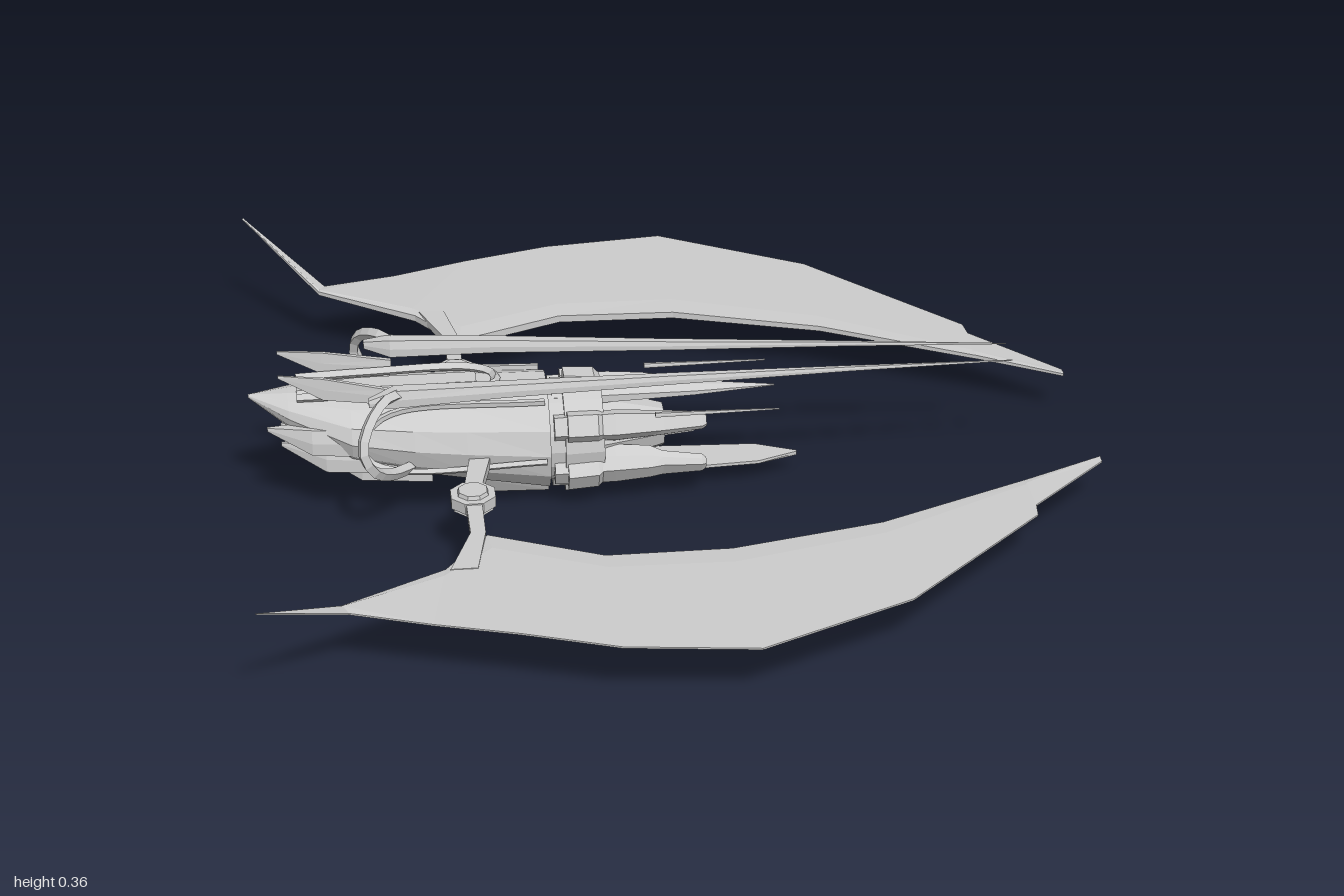
import * as THREE from 'three';

const AXIS = 0.16; // height of the hull's long axis
const mat = new THREE.MeshStandardMaterial({ color: 0xcccccc, flatShading: true, side: THREE.DoubleSide });

function add(parent, name, geometry) {
  const mesh = new THREE.Mesh(geometry, mat);
  mesh.name = name;
  parent.add(mesh);
  return mesh;
}

// Skin a row of closed cross-sections, cap both ends, and turn faces outward.
function loft(sections) {
  const n = sections[0].length, tris = [];
  for (let i = 0; i + 1 < sections.length; i++) {
    const a = sections[i], b = sections[i + 1];
    for (let j = 0; j < n; j++) {
      const k = (j + 1) % n;
      tris.push([a[j], b[j], b[k]], [a[j], b[k], a[k]]);
    }
  }
  const first = sections[0], last = sections[sections.length - 1];
  for (let j = 1; j + 1 < n; j++) {
    tris.push([first[0], first[j], first[j + 1]], [last[0], last[j + 1], last[j]]);
  }
  let volume = 0;
  for (const [p, q, r] of tris) {
    volume += p[0] * (q[1] * r[2] - q[2] * r[1]) + p[1] * (q[2] * r[0] - q[0] * r[2]) + p[2] * (q[0] * r[1] - q[1] * r[0]);
  }
  if (volume < 0) tris.forEach(t => t.reverse());
  const g = new THREE.BufferGeometry();
  g.setAttribute('position', new THREE.Float32BufferAttribute(tris.flat(2), 3));
  g.computeVertexNormals();
  return g;
}

// Bar along x with rows of [x, low y, high y, half width, centre z].
const bar = (rows, chamfer = 0.7) => loft(rows.map(([x, lo, hi, w, z = 0]) => [
  [x, lo, z - w], [x, lo, z + w], [x, (lo + hi) / 2, z + w],
  [x, hi, z + w * chamfer], [x, hi, z - w * chamfer], [x, (lo + hi) / 2, z - w],
]));

// Rounded hull with rows of [x, low y, high y, half width].
const shell = (rows, n = 14) => loft(rows.map(([x, lo, hi, w]) => Array.from({ length: n }, (_, i) => {
  const a = ((i + 0.5) / n) * Math.PI * 2;
  return [x, (lo + hi) / 2 + Math.cos(a) * (hi - lo) / 2, Math.sin(a) * w];
})));

// Flat-sided tube along points.
function rod(points, radius, segments, sides = 4) {
  const curve = new THREE.CatmullRomCurve3(points.map(p => new THREE.Vector3(...p)));
  return new THREE.TubeGeometry(curve, segments, radius, sides);
}

function ring(parent, name, x0, x1, r0, r1, sides = 18) {
  const g = new THREE.CylinderGeometry(r1, r0, x1 - x0, sides);
  g.rotateZ(-Math.PI / 2).translate((x0 + x1) / 2, AXIS, 0);
  return add(parent, name, g);
}

function buildHull(root) {
  const hull = new THREE.Group();
  hull.name = 'hull';
  root.add(hull);
  add(hull, 'mainHull', shell([
    [-0.97, 0.285, 0.293, 0.004], [-0.88, 0.215, 0.3, 0.065], [-0.74, 0.135, 0.302, 0.135],
    [-0.6, 0.095, 0.302, 0.145], [-0.48, 0.07, 0.302, 0.148], [-0.29, 0.03, 0.3, 0.142],
  ]));
  add(hull, 'keel', bar([[-0.48, 0.1, 0.045, 0.07], [-0.44, 0.12, 0.035, 0.075], [-0.29, 0.12, 0.028, 0.07]]));
  ring(hull, 'neck', -0.3, -0.25, 0.115, 0.115);
  ring(hull, 'engineCollar', -0.255, -0.165, 0.125, 0.12);
  ring(hull, 'engineCore', -0.165, -0.02, 0.09, 0.05, 10);
  // Raised horseshoe frame on the back
  const frame = [[-0.86, 0.303, -0.05], [-0.7, 0.305, -0.055], [-0.46, 0.305, -0.055], [-0.41, 0.303, -0.025],
    [-0.41, 0.303, 0.025], [-0.46, 0.305, 0.055], [-0.7, 0.305, 0.055], [-0.86, 0.303, 0.05]];
  add(hull, 'topFrame', rod(frame, 0.011, 40));
  add(hull, 'topPanel', bar([[-0.86, 0.29, 0.305, 0.025], [-0.72, 0.29, 0.309, 0.035], [-0.45, 0.29, 0.309, 0.035]]));

  for (const s of [-1, 1]) {
    // Overlapping tail plates
    const plates = [[-0.93, 0.23, 0.055, 0.21], [-0.9, 0.185, 0.045, 0.16], [-0.82, 0.15, 0.03, 0.125]];
    for (const [x, y, z, rootY] of plates) {
      add(hull, 'tailPlate', bar([
        [x, y - 0.004, y + 0.004, 0.004, s * z],
        [x + 0.1, rootY - 0.025, y + 0.015, 0.03, s * (z + 0.025)],
        [x + 0.26, rootY - 0.03, rootY + 0.03, 0.03, s * (z + 0.04)],
      ]));
    }
    // Upright tail fin
    add(hull, 'tailFin', bar([
      [-0.9, 0.362, 0.368, 0.003, s * 0.06], [-0.8, 0.305, 0.358, 0.006, s * 0.065], [-0.64, 0.29, 0.325, 0.008, s * 0.075],
    ]));
    // Border trim of the side panel
    const trim = [[-0.3, 0.155, 0.146], [-0.64, 0.155, 0.147], [-0.71, 0.19, 0.143], [-0.7, 0.25, 0.122], [-0.64, 0.28, 0.1], [-0.3, 0.28, 0.088]];
    add(hull, 'sidePanelTrim', rod(trim.map(([x, y, z]) => [x, y, s * z]), 0.008, 36));
  }
}

// Engine pods spaced around the axis; local +y points outward.
function buildPods(root) {
  for (let i = 0; i < 6; i++) {
    const pod = new THREE.Group();
    pod.name = 'enginePod';
    pod.position.y = AXIS;
    pod.rotation.x = (i * Math.PI) / 3;
    root.add(pod);
    add(pod, 'podClamp', bar([[-0.25, 0.09, 0.15, 0.035], [-0.18, 0.09, 0.145, 0.035], [-0.165, 0.09, 0.13, 0.03]]));
    if (i % 3) {
      add(pod, 'podProng', bar([
        [-0.28, 0.08, 0.135, 0.03], [-0.14, 0.07, 0.135, 0.035], [-0.06, 0.075, 0.13, 0.03],
        [-0.03, 0.09, 0.125, 0.028], [0.06, 0.1, 0.125, 0.02], [0.07, 0.105, 0.12, 0.014],
      ]));
    } else if (i === 0) {
      add(pod, 'upperSpike', bar([
        [-0.28, 0.08, 0.13, 0.045], [-0.14, 0.085, 0.12, 0.04], [0.05, 0.085, 0.105, 0.028], [0.24, 0.085, 0.088, 0.002],
      ], 0.3));
    } else {
      add(pod, 'lowerBlade', bar([
        [-0.28, 0.07, 0.13, 0.05], [-0.16, 0.07, 0.125, 0.06], [-0.1, 0.09, 0.105, 0.06],
        [0.2, 0.09, 0.105, 0.042], [0.295, 0.092, 0.102, 0.003],
      ]));
    }
  }
  for (const s of [-1, 1]) {
    add(root, 'needle', bar([[-0.05, 0.245, 0.255, 0.005, s * 0.122], [0.235, 0.247, 0.25, 0.001, s * 0.122]]));
  }
}

function buildSide(root, s) {
  const side = new THREE.Group();
  side.name = s > 0 ? 'leftWingAssembly' : 'rightWingAssembly';
  root.add(side);
  const flip = p => [p[0], p[1], s * p[2]];

  // Wing stations: inner x, inner z, outer x, outer z, height, inner half thickness
  const stations = [
    [-0.97, 0.95, -0.967, 0.952, 0.285, 0.001], [-0.79, 0.75, -0.775, 0.782, 0.168, 0.006],
    [-0.56, 0.61, -0.6, 0.835, 0.157, 0.01], [-0.46, 0.47, -0.42, 0.895, 0.155, 0.011],
    [-0.21, 0.58, -0.21, 0.965, 0.151, 0.011], [0.07, 0.575, 0.08, 1.0, 0.148, 0.01],
    [0.42, 0.48, 0.43, 0.82, 0.138, 0.008], [0.77, 0.31, 0.772, 0.47, 0.128, 0.006],
    [0.775, 0.308, 0.777, 0.425, 0.128, 0.006], [0.97, 0.204, 0.97, 0.228, 0.121, 0.004],
  ];
  add(side, 'wing', loft(stations.map(([ix, iz, ox, oz, y, t]) => {
    const mx = ix + (ox - ix) * 0.15, mz = iz + (oz - iz) * 0.15, rise = (oz - iz) * 0.02;
    return [[ix, y - t, iz], [ix, y + t * 0.6, iz], [mx, y + t, mz], [ox, y + rise + 0.002, oz],
      [ox, y + rise - 0.002, oz], [mx, y - t, mz]].map(flip);
  })));

  // Strut from hull to wing with a faceted joint
  const box = (x, z, w, h) => [[x - w, AXIS - h, z], [x + w, AXIS - h, z], [x + w, AXIS + h, z], [x - w, AXIS + h, z]].map(flip);
  add(side, 'innerStrut', loft([box(-0.45, 0.12, 0.024, 0.014), box(-0.48, 0.28, 0.02, 0.012)]));
  add(side, 'outerStrut', loft([box(-0.48, 0.32, 0.018, 0.01), box(-0.48, 0.47, 0.017, 0.01), box(-0.52, 0.62, 0.03, 0.008)]));
  const joint = new THREE.CylinderGeometry(0.054, 0.054, 0.026, 8).rotateY(Math.PI / 8);
  add(side, 'strutJoint', joint).position.set(-0.48, AXIS, s * 0.3);
  const cap = new THREE.CylinderGeometry(0.034, 0.048, 0.044, 8).rotateY(Math.PI / 8);
  add(side, 'jointCap', cap).position.set(-0.48, AXIS, s * 0.3);

  // Long lance above the hull and the curved arm carrying it
  add(side, 'lance', bar([
    [-0.7, 0.325, 0.34, 0.01, s * 0.145], [-0.64, 0.315, 0.355, 0.022, s * 0.125], [-0.4, 0.318, 0.347, 0.018, s * 0.112],
    [0, 0.312, 0.332, 0.012, s * 0.085], [0.4, 0.307, 0.317, 0.006, s * 0.063], [0.79, 0.298, 0.3, 0.001, s * 0.042],
  ]));
  const arm = [[-0.62, 0.335, 0.12], [-0.66, 0.346, 0.16], [-0.705, 0.315, 0.225], [-0.72, 0.265, 0.255],
    [-0.7, 0.215, 0.248], [-0.66, 0.175, 0.2], [-0.61, 0.155, 0.135]].map(flip);
  add(side, 'lanceArm', rod(arm, 0.014, 14));
}

export function createModel() {
  const root = new THREE.Group();
  root.name = 'spacecraft';
  buildHull(root);
  buildPods(root);
  for (const s of [-1, 1]) buildSide(root, s);
  return root;
}
